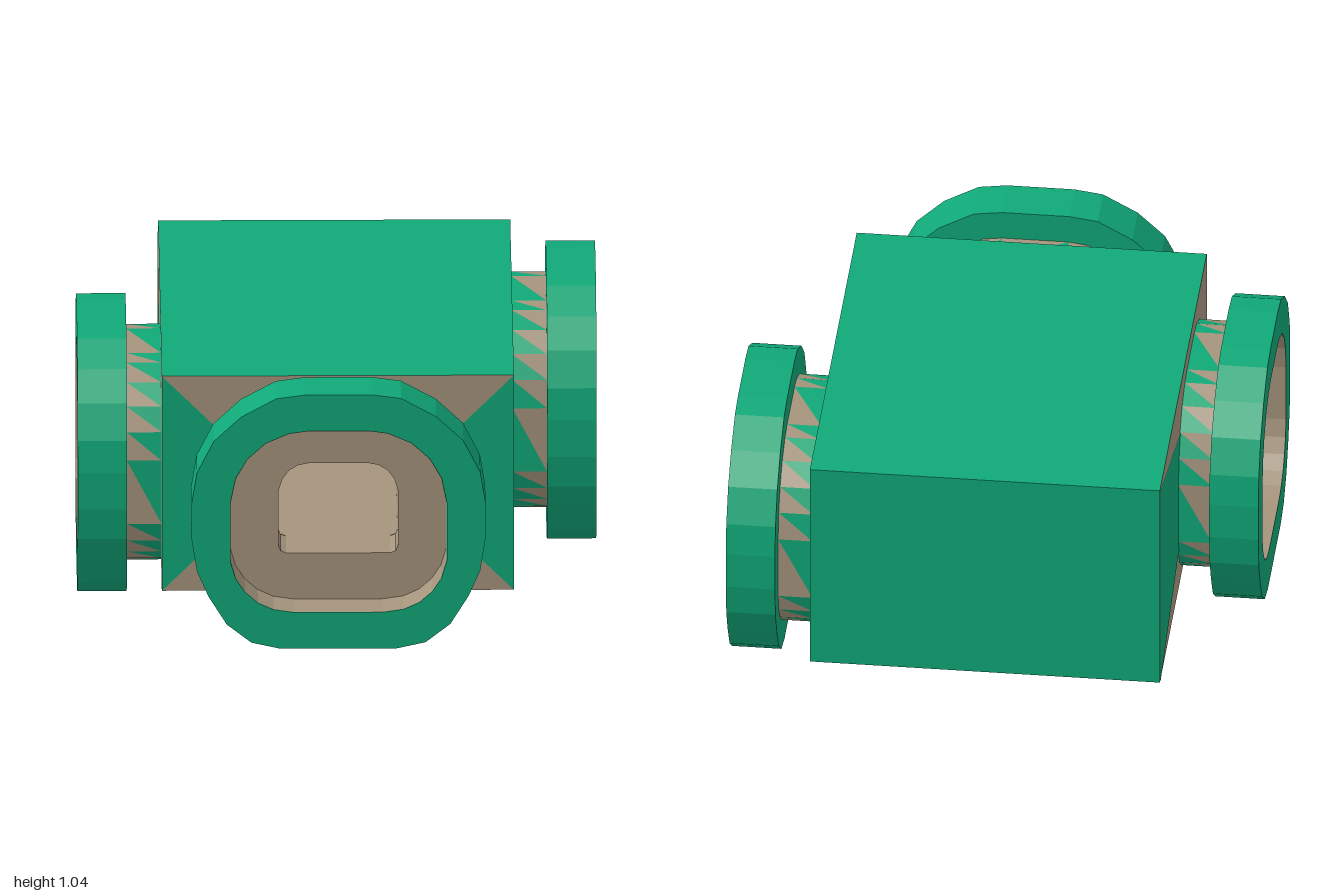
import * as THREE from 'three';

const MID = 0.523;     // height of the port centres
const WALL = 0.677;    // distance from port axis origin to the hull wall
const Y0 = 0.115, Y1 = 1.0, BACK = -0.98;

// Mirror a half outline (top to bottom, +x side) into a closed counter-clockwise loop
function loop(half, s = 1) {
  const right = half.map(([x, y]) => new THREE.Vector2(x * s, MID + (y - MID) * s));
  const left = right.map(p => new THREE.Vector2(-p.x, p.y)).reverse();
  return [...right, ...left].reverse();
}

const FLANGE = [[0.13, 1.045], [0.24, 1.03], [0.375, 0.955], [0.48, 0.855], [0.545, 0.725], [0.565, 0.6],
  [0.565, 0.45], [0.545, 0.32], [0.5, 0.215], [0.43, 0.1], [0.335, 0.025], [0.225, 0]];
const OPENING = [[0.12, 0.895], [0.19, 0.885], [0.28, 0.845], [0.35, 0.78], [0.395, 0.7], [0.415, 0.6],
  [0.415, 0.36], [0.395, 0.29], [0.36, 0.235], [0.31, 0.19], [0.25, 0.162], [0.17, 0.15]];
const DOORWAY = [[0.115, 0.71], [0.155, 0.702], [0.19, 0.68], [0.215, 0.645], [0.23, 0.595],
  [0.23, 0.37], [0.221, 0.349], [0.2, 0.34]];

function extrude(outline, hole, z0, z1) {
  const shape = new THREE.Shape(outline);
  shape.holes.push(new THREE.Path(hole));
  return new THREE.ExtrudeGeometry(shape, { depth: z1 - z0, bevelEnabled: false }).translate(0, 0, z0);
}

// Flat-shaded band along a loop; each quad's two triangles go to material groups 0 and 1
function band(pts, z0, z1) {
  const pos = [];
  const geo = new THREE.BufferGeometry();
  pts.forEach((a, i) => {
    const b = pts[(i + 1) % pts.length];
    pos.push(a.x, a.y, z0, b.x, b.y, z0, b.x, b.y, z1, a.x, a.y, z0, b.x, b.y, z1, a.x, a.y, z1);
    geo.addGroup(i * 6, 3, 0);
    geo.addGroup(i * 6 + 3, 3, 1);
  });
  geo.setAttribute('position', new THREE.Float32BufferAttribute(pos, 3));
  geo.computeVertexNormals();
  return geo;
}

export function createModel() {
  const green = new THREE.MeshStandardMaterial({ color: 0x10a878 });
  green.name = 'green';
  const tan = new THREE.MeshStandardMaterial({ color: 0xa5947d, side: THREE.DoubleSide });
  tan.name = 'tan';

  const model = new THREE.Group();
  model.name = 'corridorJunction';
  const add = (parent, name, geo, mat) => {
    const mesh = new THREE.Mesh(geo, mat);
    mesh.name = name;
    parent.add(mesh);
    return mesh;
  };

  // Hull: roof, underside and back
  const depth = WALL - BACK, zc = (WALL + BACK) / 2;
  add(model, 'roof', new THREE.PlaneGeometry(2 * WALL, depth).rotateX(-Math.PI / 2).translate(0, Y1, zc), green);
  add(model, 'underside', new THREE.PlaneGeometry(2 * WALL, depth).rotateX(Math.PI / 2).translate(0, Y0, zc), green);
  add(model, 'backWall', new THREE.PlaneGeometry(2 * WALL, Y1 - Y0).rotateY(Math.PI).translate(0, (Y0 + Y1) / 2, BACK), green);

  // One port with its hull wall, built facing +z; the wall spans xMin..xMax beside the port
  function port(name, xMin, xMax, wedges) {
    const g = new THREE.Group();
    g.name = name;
    const wall = new THREE.Shape([[xMin, Y0], [xMax, Y0], [xMax, Y1], [xMin, Y1]].map(p => new THREE.Vector2(...p)));
    wall.holes.push(new THREE.Path(loop(DOORWAY)));
    add(g, 'wall', new THREE.ShapeGeometry(wall).translate(0, 0, WALL), tan);

    // Painted wedges from the hull edge to the neck
    for (const [edge, inner, low, high] of wedges) {
      const shape = new THREE.Shape([[edge, Y0], [inner, low], [inner, high], [edge, Y1]].map(p => new THREE.Vector2(...p)));
      add(g, 'wallWedge', new THREE.ShapeGeometry(shape).translate(0, 0, WALL + 0.002), green);
    }

    add(g, 'neck', band(loop(OPENING, 1.087), WALL, 0.81), [green, tan]);
    add(g, 'flange', extrude(loop(FLANGE), loop(OPENING, 1.003), 0.81, 1), green);
    add(g, 'flangeLining', band(loop(OPENING).reverse(), 0.82, 1), [tan, tan]);
    add(g, 'doorFrame', extrude(loop(OPENING), loop(DOORWAY), WALL + 0.004, 0.86), tan);
    model.add(g);
    return g;
  }

  port('frontPort', -WALL, WALL, [[-WALL, -0.38, 0.415, 0.7], [WALL, 0.38, 0.415, 0.7]]);
  const sides = [['leftPort', 1, -0.435], ['rightPort', -1, 0.11]];
  for (const [name, side, z] of sides) {
    // Local x runs along -z on the left port and +z on the right port
    const ends = [-side * (WALL - z), -side * (BACK - z)].sort((a, b) => a - b);
    const g = port(name, ends[0], ends[1], [[ends[0], -0.38, 0.31, 0.8]]);
    g.rotation.y = side * Math.PI / 2;
    g.position.z = z;
  }

  // Passage linking the three doorways
  const runs = [
    [[0.23, 0.68], [0.23, -0.205], [0.68, -0.205]],
    [[0.68, -0.665], [-0.23, -0.665], [-0.23, -0.12], [-0.68, -0.12]],
    [[-0.68, 0.34], [-0.23, 0.34], [-0.23, 0.68]],
  ];
  const plan = new THREE.Shape(runs.flat().map(p => new THREE.Vector2(...p)));
  for (const [name, y] of [['passageFloor', 0.34], ['passageCeiling', 0.71]])
    add(model, name, new THREE.ShapeGeometry(plan).rotateX(Math.PI / 2).translate(0, y, 0), tan);
  for (const run of runs) {
    for (let i = 0; i + 1 < run.length; i++) {
      const [[x0, z0], [x1, z1]] = [run[i], run[i + 1]];
      const geo = new THREE.PlaneGeometry(Math.hypot(x1 - x0, z1 - z0), 0.37);
      geo.rotateY(Math.atan2(z0 - z1, x1 - x0)).translate((x0 + x1) / 2, 0.525, (z0 + z1) / 2);
      add(model, 'passageWall', geo, tan);
    }
  }
  return model;
}
